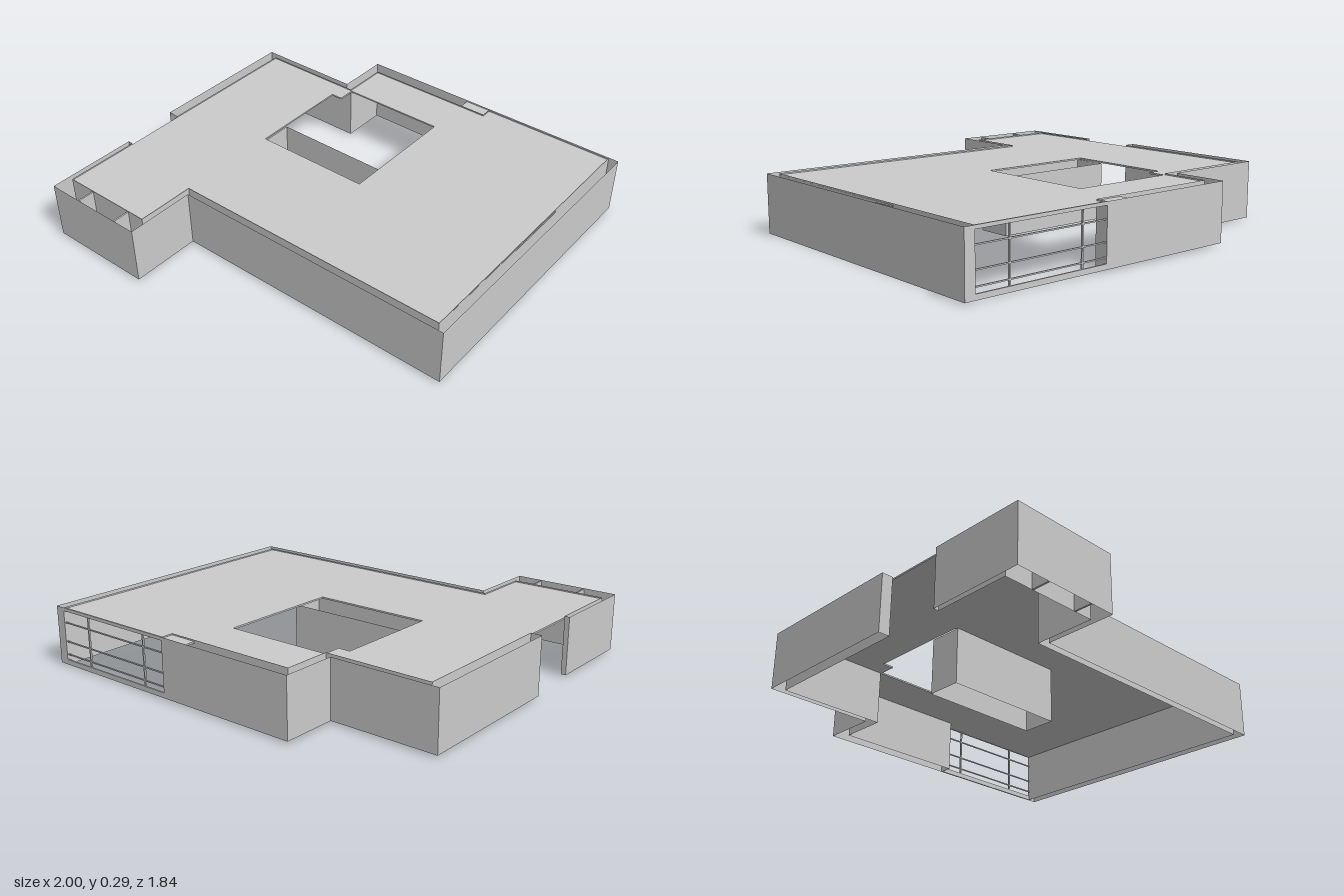
import * as THREE from 'three';

const grey = new THREE.MeshStandardMaterial({ color: 0xcccccc, side: THREE.DoubleSide, flatShading: true });
const BASE = 0.01, TOP = 0.295;

// Vertical sheets following a closed [x, z] outline, open at top and bottom
function wallLoop(name, points, y0 = BASE, y1 = TOP) {
  const pos = [];
  points.forEach(([ax, az], i) => {
    const [bx, bz] = points[(i + 1) % points.length];
    pos.push(ax, y0, az, bx, y0, bz, bx, y1, bz, ax, y0, az, bx, y1, bz, ax, y1, az);
  });
  const geo = new THREE.BufferGeometry();
  geo.setAttribute('position', new THREE.Float32BufferAttribute(pos, 3));
  geo.computeVertexNormals();
  const mesh = new THREE.Mesh(geo, grey);
  mesh.name = name;
  return mesh;
}

// Box given by its lower and upper corners
function block(name, x0, x1, y0, y1, z0, z1) {
  const mesh = new THREE.Mesh(new THREE.BoxGeometry(x1 - x0, y1 - y0, z1 - z0), grey);
  mesh.position.set((x0 + x1) / 2, (y0 + y1) / 2, (z0 + z1) / 2);
  mesh.name = name;
  return mesh;
}

const toVectors = (points) => points.map(([x, z]) => new THREE.Vector2(x, -z));

export function createModel() {
  const model = new THREE.Group();
  model.name = 'courtyardBuilding';

  // Flat roof with the courtyard opening
  const roofShape = new THREE.Shape(toVectors([
    [-0.945, 0.83], [-0.465, 0.83], [-0.465, 0.535], [0.955, 0.535], [0.955, -0.4], [0.95, -0.4],
    [0.95, -0.918], [0.13, -0.918], [0.13, -0.855], [-0.41, -0.855], [-0.41, -0.62], [-0.945, -0.62],
  ]));
  roofShape.holes.push(new THREE.Path(toVectors([
    [-0.465, 0], [-0.465, -0.53], [-0.405, -0.53], [-0.405, -0.619], [0.13, -0.619], [0.13, 0],
  ])));
  const roofGeo = new THREE.ExtrudeGeometry(roofShape, { depth: 0.008, bevelEnabled: false });
  roofGeo.rotateX(-Math.PI / 2);
  const roof = new THREE.Mesh(roofGeo, grey);
  roof.name = 'roof';
  roof.position.y = 0.28;
  model.add(roof);

  // Hollow outer walls: rear run, then right and front run, parted by the side doorway and the rear window
  model.add(wallLoop('rearWalls', [
    [-1, 0.14], [-1, -0.65], [-0.46, -0.65], [-0.46, -0.92], [0.27, -0.92],
    [0.27, -0.855], [-0.41, -0.855], [-0.41, -0.62], [-0.945, -0.62], [-0.945, 0.14],
  ]));
  model.add(wallLoop('frontWalls', [
    [0.95, -0.92], [1, -0.92], [1, 0.57], [-0.435, 0.57], [-0.435, 0.92], [-0.97, 0.92], [-0.97, 0.45],
    [-0.945, 0.45], [-0.945, 0.83], [-0.465, 0.83], [-0.465, 0.535], [0.955, 0.535],
  ]));

  // Dividers inside the thick front wall of the wing
  for (const x of [-0.8, -0.56]) model.add(block('wallDivider', x - 0.004, x + 0.004, BASE, 0.29, 0.83, 0.92));

  // Open shaft at the front of the courtyard
  model.add(wallLoop('courtyardShaft', [[-0.46, 0.015], [0.165, 0.015], [0.165, -0.157], [-0.46, -0.157]], 0, 0.28));

  // Rear window: head, sill and glazing bars
  const rearWindow = new THREE.Group();
  rearWindow.name = 'rearWindow';
  rearWindow.add(block('windowHead', 0.27, 0.95, 0.279, TOP, -0.92, -0.912));
  rearWindow.add(block('windowSill', 0.27, 0.95, BASE, 0.035, -0.92, -0.912));
  for (const y of [0.06, 0.125, 0.22]) rearWindow.add(block('windowRail', 0.27, 0.95, y - 0.003, y + 0.003, -0.915, -0.909));
  for (const x of [0.4, 0.78]) rearWindow.add(block('windowMullion', x - 0.004, x + 0.004, 0.035, 0.28, -0.915, -0.907));
  model.add(rearWindow);

  return model;
}
